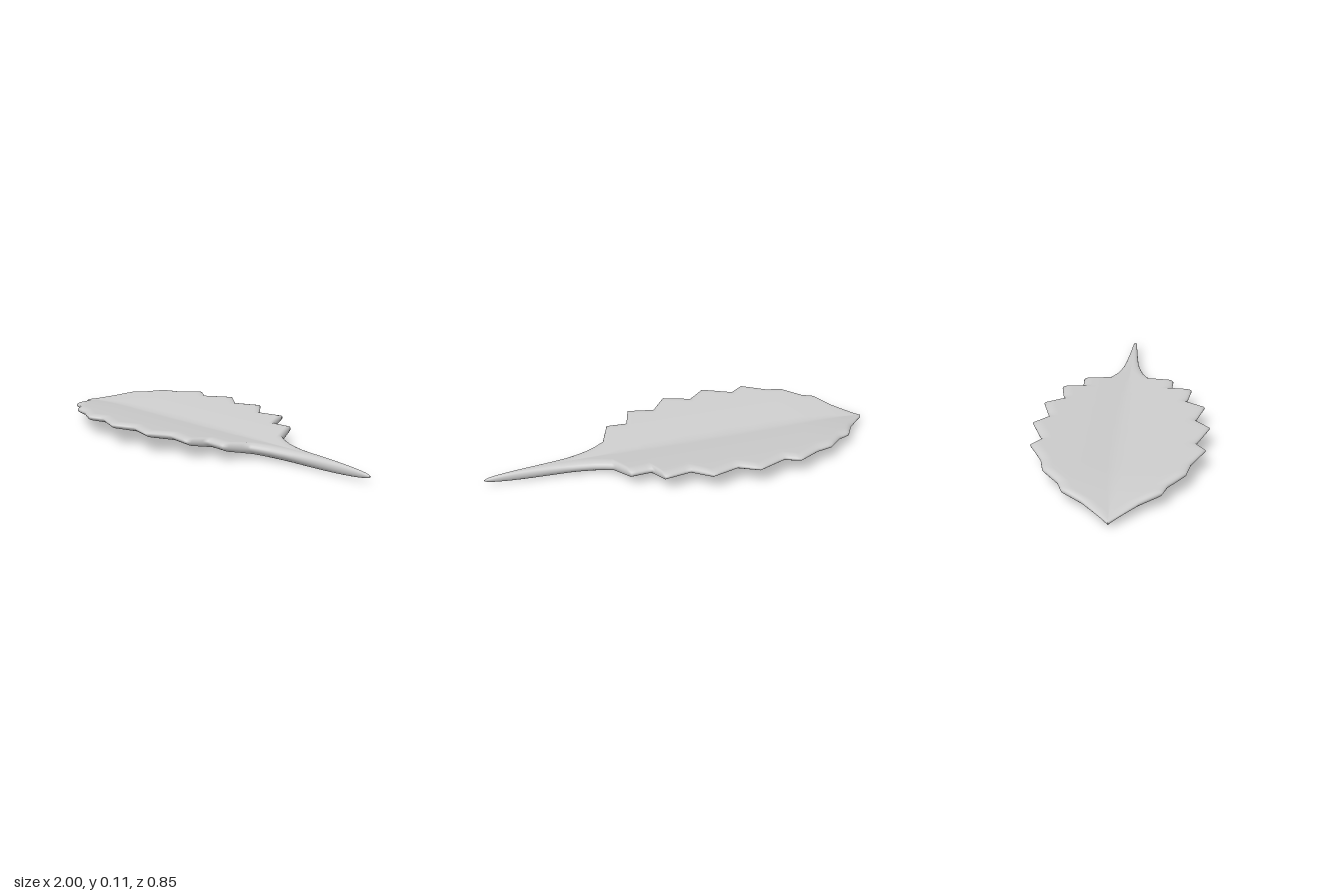
import * as THREE from 'three';

// Serrated half-outline, from leaf tip to stem end: [x, half width]
const OUTLINE = [
  [-1, 0.004], [-0.88, 0.125], [-0.82, 0.217], [-0.76, 0.24], [-0.675, 0.317], [-0.59, 0.337],
  [-0.47, 0.403], [-0.4, 0.36], [-0.25, 0.425], [-0.16, 0.358], [-0.02, 0.403], [0.06, 0.313],
  [0.195, 0.338], [0.23, 0.234], [0.335, 0.24], [0.385, 0.123], [0.43, 0.097], [0.48, 0.075],
  [0.54, 0.058], [0.6, 0.045], [0.67, 0.035], [0.75, 0.027], [0.83, 0.02], [0.91, 0.014],
  [0.97, 0.01], [1, 0.003],
];
const STEPS = 4;  // sections between outline points
const FLAT = 8;   // strips from the midrib to the rounded rim
const ARC = 6;    // strips over the rounded rim

// Thickness factor along the length: thin at the tip, rounded at the stem end
function fullness(x) {
  if (x < -0.6) return 1 - 0.72 * ((-0.6 - x) / 0.4) ** 2;
  if (x > 0.6) return Math.sqrt(Math.max(0, 1 - ((x - 0.6) / 0.4) ** 2));
  return 1;
}

// Points of one half section, midrib to rim: [z, middle height, half thickness]
function halfSection(x, w) {
  const r = Math.min(w, 0.05), pts = [];
  const add = (z, round) => pts.push([
    z,
    0.031 + 0.205 * z - 0.1 * z * z,
    (0.031 - 0.035 * z) * fullness(x) * round,
  ]);
  for (let i = 0; i < FLAT; i++) add((w - r) * i / FLAT, 1);
  for (let i = 0; i <= ARC; i++) {
    const a = i / ARC * Math.PI / 2;
    add(w - r + r * Math.sin(a), i === ARC ? 0 : Math.cos(a));
  }
  return pts;
}

// Closed ring: left rim, over the top, right rim, back underneath
function ring(x, w) {
  const half = halfSection(x, w), n = half.length - 1, out = [];
  const put = (k, side, up) => {
    const [z, mid, h] = half[k];
    out.push(x, mid + up * h, side * z);
  };
  for (let k = n; k >= 0; k--) put(k, 1, 1);
  for (let k = 1; k <= n; k++) put(k, -1, 1);
  for (let k = n - 1; k >= 0; k--) put(k, -1, -1);
  for (let k = 1; k < n; k++) put(k, 1, -1);
  return out;
}

function leafGeometry() {
  const sections = [];
  OUTLINE.forEach(([x, w], i) => {
    if (i === OUTLINE.length - 1) return sections.push([x, w]);
    const [x2, w2] = OUTLINE[i + 1];
    for (let s = 0; s < STEPS; s++) {
      const t = s / STEPS;
      sections.push([x + (x2 - x) * t, w + (w2 - w) * t]);
    }
  });
  const pos = [], idx = [], n = (FLAT + ARC) * 4;
  sections.forEach(([x, w]) => pos.push(...ring(x, w)));
  for (let i = 0; i < sections.length - 1; i++) {
    for (let j = 0; j < n; j++) {
      const a = i * n + j, b = i * n + (j + 1) % n;
      idx.push(a, a + n, b, b, a + n, b + n);
    }
  }
  // Close the leaf tip by joining its top and bottom halves
  const m = n / 2;
  for (let j = 0; j < m; j++) {
    const a = j, b = j + 1, c = (n - j - 1) % n, d = (n - j) % n;
    idx.push(a, b, c, a, c, d);
  }
  const geo = new THREE.BufferGeometry();
  geo.setAttribute('position', new THREE.Float32BufferAttribute(pos, 3));
  geo.setIndex(idx);
  geo.computeVertexNormals();
  return geo;
}

export function createModel() {
  const group = new THREE.Group();
  group.name = 'leaf';
  const blade = new THREE.Mesh(leafGeometry(), new THREE.MeshStandardMaterial({ color: 0xcccccc }));
  blade.name = 'bladeAndStem';
  group.add(blade);
  return group;
}
